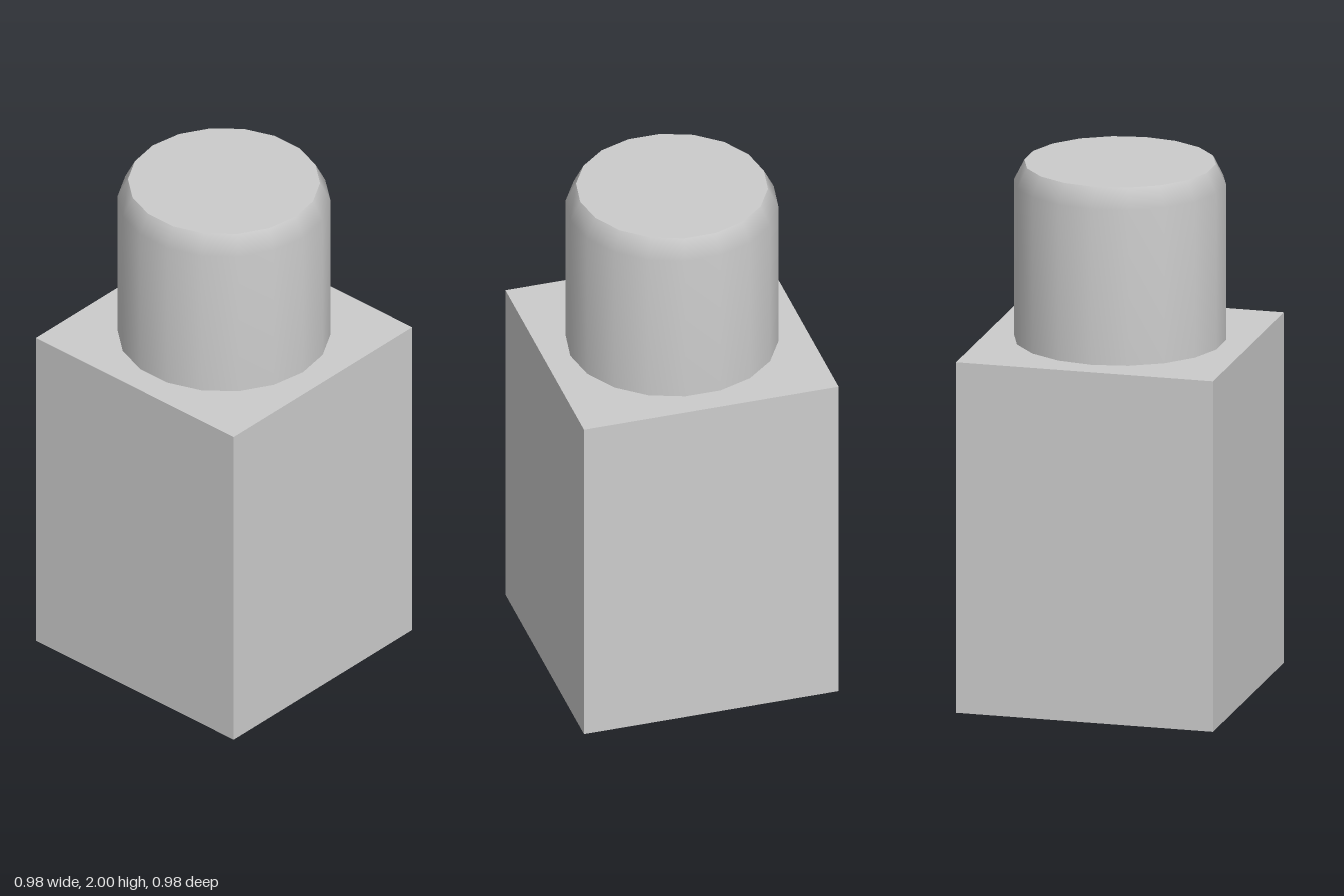
import * as THREE from 'three';

const material = new THREE.MeshStandardMaterial({ color: 0xcccccc, side: THREE.DoubleSide });

function addMesh(parent, name, geometry, y = 0) {
  const mesh = new THREE.Mesh(geometry, material);
  mesh.name = name;
  mesh.position.y = y;
  parent.add(mesh);
}

// Box without its bottom face (the fourth of six, six indices each)
function openBox(width, height, depth) {
  const box = new THREE.BoxGeometry(width, height, depth);
  const index = Array.from(box.index.array).filter((_, i) => Math.floor(i / 6) !== 3);
  box.setIndex(index);
  box.clearGroups();
  return box;
}

export function createModel() {
  const group = new THREE.Group();
  group.name = 'blockWithStud';

  const bodyHeight = 1.333, half = 0.488, sides = 18;
  const studRadius = 0.39, capRadius = 0.352;

  // Hollow square body, open underneath
  addMesh(group, 'body', openBox(half * 2, bodyHeight, half * 2), bodyHeight / 2);

  // Round stud with a softly shaded bevel
  const profile = [[studRadius, bodyHeight], [studRadius, 1.925], [capRadius, 2]]
    .map(([r, y]) => new THREE.Vector2(r, y));
  addMesh(group, 'stud', new THREE.LatheGeometry(profile, sides, Math.PI / 2));

  // Flat, sharp-edged cap
  const cap = new THREE.CircleGeometry(capRadius, sides).rotateX(-Math.PI / 2);
  addMesh(group, 'studCap', cap, 2);

  return group;
}
